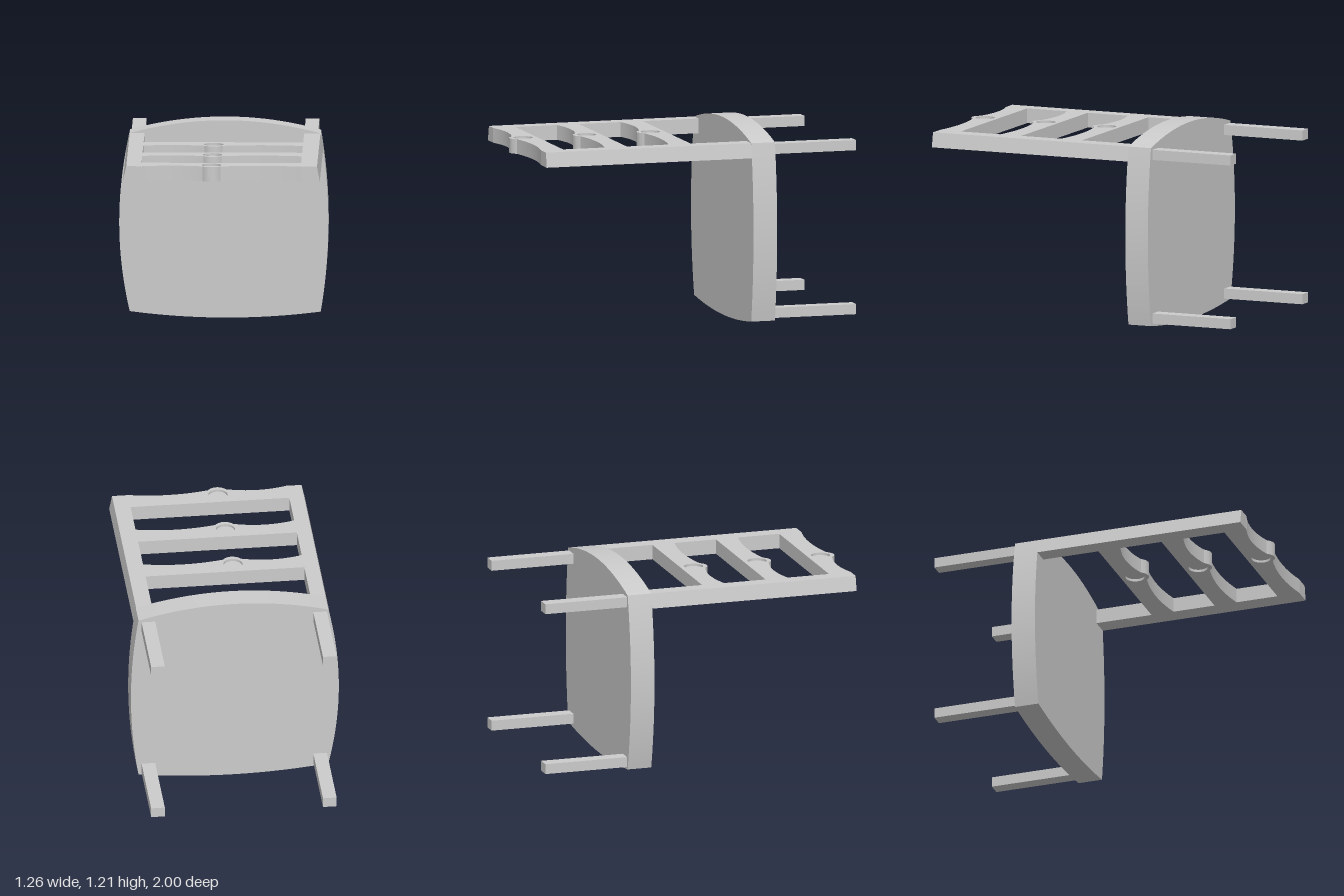
import * as THREE from 'three';
import { toCreasedNormals } from 'three/addons/utils/BufferGeometryUtils.js';

const grey = new THREE.MeshStandardMaterial({ color: 0xcccccc });

function addMesh(parent, name, geometry) {
  const mesh = new THREE.Mesh(geometry, grey);
  mesh.name = name;
  parent.add(mesh);
  return mesh;
}

// Extrude along +z with smooth curves and sharp corners
function extrude(shape, depth, curveSegments = 16) {
  const g = new THREE.ExtrudeGeometry(shape, { depth, curveSegments, bevelEnabled: false });
  return toCreasedNormals(g, 0.4);
}

export function createModel() {
  const model = new THREE.Group();
  model.name = 'chair';

  // Seat: slab with four bowed sides
  const outline = new THREE.Shape();
  outline.moveTo(-0.57, 0.04);
  outline.quadraticCurveTo(0.01, -0.036, 0.585, 0.04);
  outline.quadraticCurveTo(0.677, 0.585, 0.585, 1.13);
  outline.quadraticCurveTo(0.01, 1.288, -0.57, 1.13);
  outline.quadraticCurveTo(-0.697, 0.585, -0.57, 0.04);
  addMesh(model, 'seat', extrude(outline, 0.15, 24)).position.z = -0.48;

  // Legs
  for (const x of [-0.52, 0.525]) {
    for (const y of [0.084, 1.086]) {
      const leg = addMesh(model, 'leg', new THREE.BoxGeometry(0.083, 0.062, 0.54));
      leg.position.set(x, y, -0.73);
    }
  }

  // Backrest posts: outer faces lean outwards with the seat edge
  const backrest = new THREE.Group();
  backrest.name = 'backrest';
  model.add(backrest);
  const posts = [
    ['rightPost', -0.48, -0.57, -0.59],
    ['leftPost', 0.485, 0.583, 0.6],
  ];
  for (const [name, inner, outerTop, outerBottom] of posts) {
    const section = new THREE.Shape([
      new THREE.Vector2(inner, 1.04),
      new THREE.Vector2(outerBottom, 1.04),
      new THREE.Vector2(outerTop, 1.13),
      new THREE.Vector2(inner, 1.13),
    ]);
    addMesh(backrest, name, extrude(section, 1.302)).position.z = -0.332;
  }

  // Rails: scalloped edge with a central bump and a shallow round recess
  const rail = new THREE.Shape();
  rail.moveTo(-0.48, 0);
  rail.lineTo(0.485, 0);
  rail.lineTo(0.485, 0.141);
  rail.quadraticCurveTo(0.245, 0.087, 0, 0.141);
  rail.bezierCurveTo(-0.03, 0.18, -0.08, 0.18, -0.11, 0.141);
  rail.quadraticCurveTo(-0.295, 0.083, -0.48, 0.141);
  rail.closePath();
  const recess = new THREE.Path();
  recess.absarc(-0.055, 0.085, 0.058, 0, Math.PI * 2, true);
  rail.holes.push(recess);
  const railGeometry = extrude(rail, 0.09).rotateX(Math.PI / 2);
  // Plug closes the hole a little below both faces
  const plugGeometry = new THREE.CylinderGeometry(0.058, 0.058, 0.06, 32);

  for (const z of [0.023, 0.427, 0.83]) {
    addMesh(backrest, 'rail', railGeometry).position.set(0, 1.13, z);
    addMesh(backrest, 'recessFloor', plugGeometry).position.set(-0.055, 1.085, z + 0.085);
  }

  return model;
}
